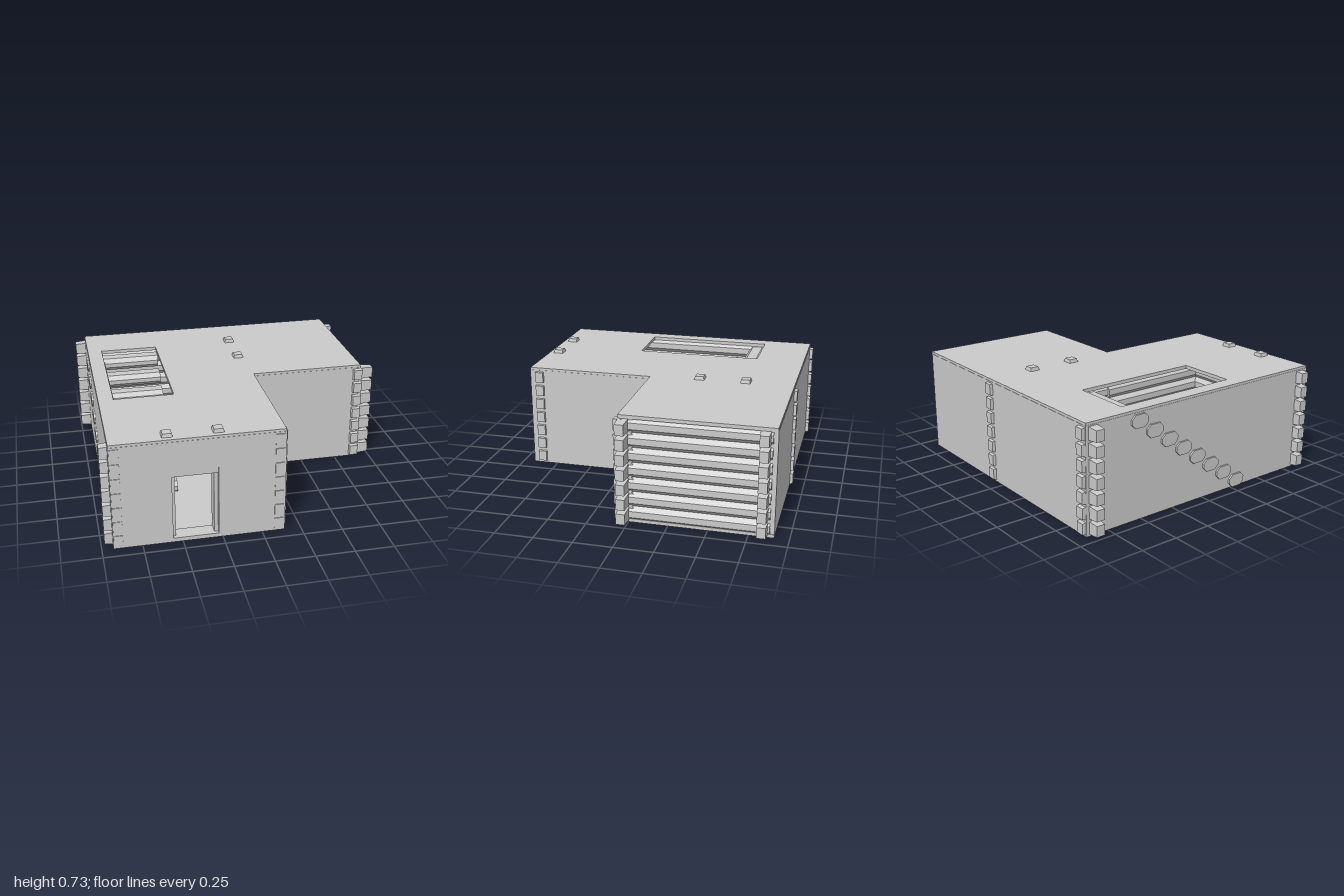
import * as THREE from 'three';

const PITCH = 0.0975, ROWS = 7, BASE = 0.006;
const grey = new THREE.MeshStandardMaterial({ color: 0xcccccc, flatShading: true });
const rowY = (i) => BASE + PITCH * (i + 0.5);

function add(parent, name, geometry, x = 0, y = 0, z = 0) {
  const mesh = new THREE.Mesh(geometry, grey);
  mesh.name = name;
  mesh.position.set(x, y, z);
  parent.add(mesh);
  return mesh;
}

// Log running along z or x. flat: side (-1 or +1 across the log) left uncut, 0 chamfers both
function addLog(parent, name, axis, from, to, centre, y, width, height, flat = 0) {
  const w = width / 2, h = height / 2, c = 0.028;
  const f = axis === 'x' ? -flat : flat;
  const l = f === -1 ? 0 : c, r = f === 1 ? 0 : c;
  const pts = [[-w, -h + l], [-w + l, -h], [w - r, -h], [w, -h + r],
    [w, h - r], [w - r, h], [-w + l, h], [-w, h - l]];
  const unique = pts.filter((p, i) => {
    const q = pts[(i + 7) % 8];
    return Math.abs(p[0] - q[0]) + Math.abs(p[1] - q[1]) > 1e-6;
  });
  const shape = new THREE.Shape(unique.map((p) => new THREE.Vector2(...p)));
  const geo = new THREE.ExtrudeGeometry(shape, { depth: to - from, bevelEnabled: false });
  if (axis === 'x') geo.rotateY(Math.PI / 2);
  return axis === 'x' ? add(parent, name, geo, from, y, centre) : add(parent, name, geo, centre, y, from);
}

// Stack of logs, with an optional doorway [from, to] cut through the lower five rows
function addWall(parent, name, axis, from, to, centre, width, flat, door) {
  const wall = new THREE.Group();
  wall.name = name;
  for (let i = 0; i < ROWS; i++) {
    const spans = door && i < 5 ? [[from, door[0]], [door[1], to]] : [[from, to]];
    for (const [a, b] of spans) addLog(wall, 'log', axis, a, b, centre, rowY(i), width, PITCH, flat);
  }
  parent.add(wall);
}

// Column of tapered log ends; angle turns them from +z
function addLogEnds(parent, name, x, z, angle, length, width = 0.066) {
  const column = new THREE.Group();
  column.name = name;
  const inset = 0.03;
  const geo = new THREE.BoxGeometry(width, 0.086, length + inset);
  const p = geo.attributes.position;
  for (let i = 0; i < p.count; i++) {
    if (p.getZ(i) > 0) p.setXY(i, p.getX(i) * 0.85, p.getY(i) * 0.82);
  }
  geo.translate(0, 0, (length - inset) / 2);
  for (let i = 0; i < ROWS; i++) add(column, 'logEnd', geo, 0, rowY(i), 0);
  column.position.set(x, 0, z);
  column.rotation.y = angle;
  parent.add(column);
}

// L-shaped slab lying flat, given its underside and thickness
function addSlab(parent, name, y, thickness, hole) {
  const shape = new THREE.Shape([[-0.928, -0.918], [0.143, -0.918], [0.143, -0.061], [0.906, -0.061],
    [0.906, 0.906], [-0.928, 0.906]].map((q) => new THREE.Vector2(...q)));
  if (hole) {
    const [x0, x1, z0, z1] = hole;
    shape.holes.push(new THREE.Path([[x0, -z0], [x1, -z0], [x1, -z1], [x0, -z1]].map((q) => new THREE.Vector2(...q))));
  }
  const geo = new THREE.ExtrudeGeometry(shape, { depth: thickness, bevelEnabled: false });
  geo.rotateX(-Math.PI / 2);
  add(parent, name, geo, 0, y, 0);
}

// Door post with a slightly tapered peg showing above the roof
function addPost(parent, x, z) {
  add(parent, 'doorPost', new THREE.BoxGeometry(0.07, 0.69, 0.08), x, 0.35, z);
  const peg = new THREE.CylinderGeometry(0.04, 0.05, 0.03, 4);
  peg.rotateY(Math.PI / 4);
  add(parent, 'postPeg', peg, x, 0.713, z);
}

export function createModel() {
  const model = new THREE.Group();
  model.name = 'logHouseFloor';

  // Floor and roof deck with the stair opening
  addSlab(model, 'floor', 0, 0.022);
  addSlab(model, 'roofDeck', 0.682, 0.023, [-0.83, -0.44, -0.575, 0.28]);

  // Outer walls, flat outside and chamfered inside
  const t = 0.11, h = t / 2;
  addWall(model, 'frontWall', 'x', -0.93, 0.145, 0.92 - h, t, 1, [-0.56, -0.275]);
  addWall(model, 'backWall', 'x', -0.93, 0.9, -0.908 + h, t, -1);
  addWall(model, 'leftWall', 'z', -0.908, 0.92, -0.93 + h, t, -1);
  addWall(model, 'innerCornerWall', 'z', 0.0, 0.92, 0.145 - h, t, 1);
  addWall(model, 'wingFrontWall', 'x', 0.08, 0.9, 0.063 - h, t, 1);

  // Rounded log wall at the wing end and the partition with a doorway
  addWall(model, 'wingEndWall', 'z', -0.88, 0.04, 0.86, t, 0);
  addWall(model, 'partitionWall', 'z', -0.85, 0.0, 0.1, 0.1, 0, [-0.57, -0.29]);

  // Door posts, lintels and sill
  for (const x of [-0.575, -0.265]) addPost(model, x, 0.852);
  for (const z of [-0.585, -0.275]) addPost(model, 0.105, z);
  add(model, 'frontLintel', new THREE.BoxGeometry(0.29, 0.045, 0.1), -0.4175, 0.4765, 0.868);
  add(model, 'partitionLintel', new THREE.BoxGeometry(0.08, 0.045, 0.28), 0.1, 0.4765, -0.43);
  add(model, 'doorSill', new THREE.BoxGeometry(0.285, 0.026, 0.1), -0.4175, 0.014, 0.868);

  // Log ends at the corners and crossings
  const R = Math.PI / 2;
  addLogEnds(model, 'frontLeftEnds', -0.93, 0.853, -R, 0.05);
  addLogEnds(model, 'backLeftEnds', -0.93, -0.855, -R, 0.07);
  addLogEnds(model, 'frontRightEnds', 0.145, 0.853, R, 0.016);
  addLogEnds(model, 'wingFrontEnds', 0.9, 0.028, R, 0.098);
  addLogEnds(model, 'wingBackEnds', 0.9, -0.835, R, 0.07);
  addLogEnds(model, 'wingSideEnds', 0.884, 0.063, 0, 0.027);
  addLogEnds(model, 'frontCornerEnds', 0.106, 0.92, 0, 0.004);
  addLogEnds(model, 'frontOuterEnds', -0.897, 0.92, 0, 0.003);
  addLogEnds(model, 'backOuterEnds', -0.897, -0.908, Math.PI, 0.024);
  addLogEnds(model, 'partitionBackEnds', 0.104, -0.908, Math.PI, 0.02);

  // Open log stair rising to the back, with treads set through the left wall
  const stair = new THREE.Group();
  stair.name = 'stair';
  for (let k = 0; k < 8; k++) {
    addLog(stair, 'tread', 'x', -0.942, -0.44, -0.52 + 0.116 * k, 0.635 - 0.084 * k, 0.125, 0.085);
  }
  model.add(stair);

  return model;
}
